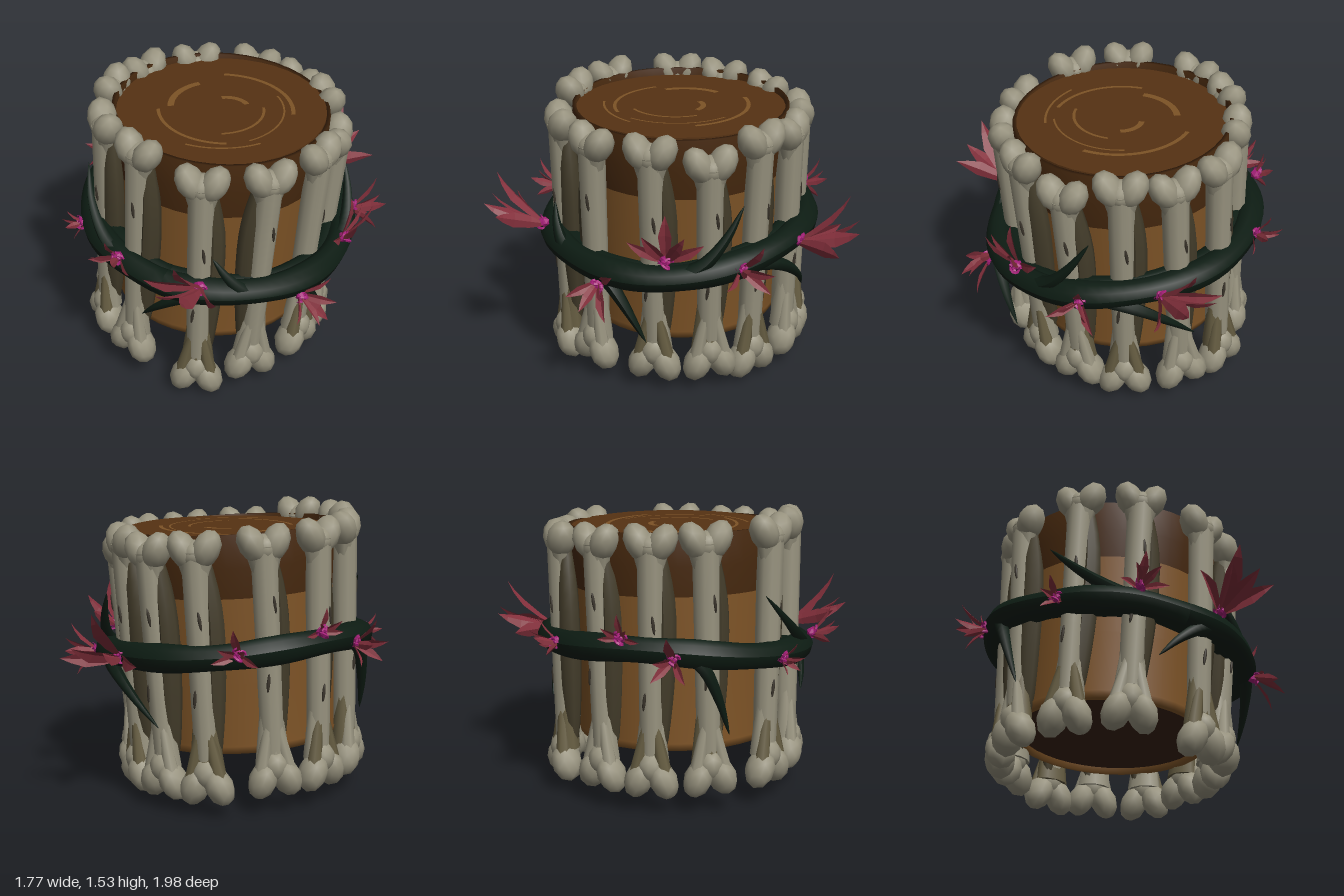
import * as THREE from 'three';

const rad = THREE.MathUtils.degToRad;
const mat = (color, extra = {}) => new THREE.MeshStandardMaterial({ color, ...extra });
const M = {
  bone: mat(0x98937f),
  olive: mat(0x655c41),
  slat: mat(0x433c2a),
  crack: mat(0x39332a),
  wood: mat(0x7d5326, { side: THREE.DoubleSide }),
  darkWood: mat(0x47290f, { side: THREE.DoubleSide }),
  skin: mat(0x563213),
  under: mat(0x3a2210),
  vine: mat(0x0d1c13),
  petal: mat(0x84303c, { side: THREE.DoubleSide, flatShading: true }),
  core: mat(0xa51f78, { flatShading: true }),
};

function add(parent, name, geo, material, pos = [0, 0, 0], rot = [0, 0, 0], scale = [1, 1, 1]) {
  const m = new THREE.Mesh(geo, material);
  m.name = name;
  m.position.set(...pos);
  m.rotation.set(...rot);
  m.scale.set(...scale);
  parent.add(m);
  return m;
}

const lathe = (pts) => new THREE.LatheGeometry(pts.map(p => new THREE.Vector2(...p)), 40);
const spline = (pts, closed = false) => new THREE.CatmullRomCurve3(pts, closed);

// Tube whose radius follows a rule along its length
function taperTube(curve, segs, sides, radiusAt, closed = false) {
  const geo = new THREE.TubeGeometry(curve, segs, 1, sides, closed);
  const pos = geo.attributes.position, v = new THREE.Vector3();
  for (let i = 0; i <= segs; i++) {
    const c = curve.getPointAt(i / segs);
    for (let j = 0; j <= sides; j++) {
      const k = i * (sides + 1) + j;
      v.fromBufferAttribute(pos, k).sub(c).multiplyScalar(radiusAt(i / segs)).add(c);
      pos.setXYZ(k, v.x, v.y, v.z);
    }
  }
  geo.computeVertexNormals();
  return geo;
}

// Drum body: two-tone hollow wall, level skin inside the leaning rim, underside
function drumBody() {
  const g = new THREE.Group();
  g.name = 'drumBody';
  add(g, 'lowerWall', lathe([[0.5, -0.42], [0.505, -0.47], [0.53, -0.47], [0.54, -0.43],
    [0.53, -0.42], [0.545, -0.1], [0.555, 0.34]]), M.wood);
  add(g, 'upperWall', lathe([[0.555, 0.34], [0.575, 0.5], [0.575, 0.665], [0.555, 0.665], [0.55, 0.58]]), M.darkWood);
  const head = new THREE.Group();
  head.name = 'drumHead';
  head.position.y = 0.64;
  head.rotation.z = 0.045;
  add(head, 'drumSkin', new THREE.CylinderGeometry(0.555, 0.555, 0.02, 40), M.skin);
  g.add(head);
  add(g, 'underside', new THREE.CylinderGeometry(0.51, 0.51, 0.02, 40), M.under, [0, -0.43, 0]);
  // Worn swirls on the skin: radius, width, start, sweep
  [[0.4, 0.022, 0.3, 1.6], [0.37, 0.018, 3.6, 1.5], [0.27, 0.035, 2.4, 1.2], [0.25, 0.015, 5.2, 1.6],
    [0.13, 0.03, 0.8, 1.4], [0.44, 0.012, 4.7, 0.9], [0.36, 0.01, 5.6, 1.5]].forEach(([r, w, s, l], i) =>
    add(head, 'skinSwirl', new THREE.RingGeometry(r - w, r, 24, 1, s, l), M.wood,
      [0.03 * Math.sin(i * 2), 0.013, 0.03 * Math.cos(i * 2)], [-Math.PI / 2, 0, 0]));
  return g;
}

// Bone with twin knobs at both ends; z points outwards
const knob = new THREE.IcosahedronGeometry(1, 1);
function bone(top, bottom, i) {
  const g = new THREE.Group();
  g.name = 'bone';
  const shaftMid = (top + bottom) / 2 + 0.06, len = top - bottom - 0.36;
  add(g, 'shaft', new THREE.CylinderGeometry(0.07, 0.062, len, 10, 3), M.bone, [0, shaftMid, 0], [0, i, 0]);
  add(g, 'upperNeck', new THREE.CylinderGeometry(0.105, 0.068, 0.13, 10), M.bone,
    [0, top - 0.17, 0], [0, 0, 0], [1, 1, 0.7]);
  add(g, 'upperMiddleKnob', knob, M.bone, [0, top - 0.12, 0], [0, 0, 0], [0.08, 0.075, 0.075]);
  add(g, 'lowerNeck', new THREE.CylinderGeometry(0.058, 0.095, 0.3, 10), i % 3 ? M.bone : M.olive,
    [0, bottom + 0.32, 0], [0, 0, 0], [1, 1, 0.7]);
  for (const s of [-1, 1]) {
    add(g, 'upperKnob', knob, M.bone, [s * 0.06, top - 0.095, 0], [0, 0, -s * 0.5], [0.072, 0.105, 0.08]);
    add(g, 'lowerKnob', knob, M.bone, [s * 0.064, bottom + 0.1, 0.02], [0, s * 0.3, s * 0.4], [0.075, 0.108, 0.085]);
    add(g, 'fork', new THREE.CylinderGeometry(0.022, 0.042, 0.3, 7), i % 2 ? M.bone : M.olive,
      [s * 0.045, bottom + 0.28, 0.03], [-0.05, 0, s * 0.2]);
    add(g, 'crack', knob, M.crack, [s * 0.025, shaftMid + s * 0.2 + 0.05 * Math.sin(i * 3), 0.061],
      [0, s * 0.3, s * 0.12], [0.009, 0.05, 0.008]);
  }
  add(g, 'lowerMiddleKnob', knob, M.bone, [0, bottom + 0.17, 0.02], [0, 0, 0], [0.075, 0.085, 0.075]);
  // Dark curved stave hugging one side of the bone from knob to knob
  const side = i === 5 ? -1 : 1;
  const path = [[0.03, top - 0.12], [0.068, top - 0.4], [0.065, 0], [0.035, bottom + 0.22]]
    .map(([x, y]) => new THREE.Vector3(side * x, y, -0.025));
  add(g, 'stave', taperTube(spline(path), 12, 8, t => 0.03 + 0.027 * Math.sin(Math.PI * t) ** 0.6), M.slat);
  return g;
}

// Point on the sloping vine ring; a = 0 is the front, 90 the model's left
function onVine(a, r = 0.685, dy = 0) {
  const s = Math.sin(rad(a)), c = Math.cos(rad(a));
  return new THREE.Vector3(0.025 + r * s, 0.795 - 0.075 * s - 0.045 * c + dy, -0.04 + r * c);
}

// Folded lance-shaped petal pointing along +y, unit length
function petalGeometry() {
  const rows = [[0, 0.025, 0], [0.3, 0.095, 0.02], [0.6, 0.125, 0.02], [0.83, 0.065, 0], [1, 0, -0.04]];
  const pos = [], idx = [];
  rows.forEach(([y, w, z], i) => {
    pos.push(-w, y, z + w * 0.4, 0, y, z, w, y, z + w * 0.4);
    if (i) for (const k of [0, 1]) {
      const a = (i - 1) * 3 + k;
      idx.push(a, a + 1, a + 4, a, a + 4, a + 3);
    }
  });
  const geo = new THREE.BufferGeometry();
  geo.setAttribute('position', new THREE.Float32BufferAttribute(pos, 3));
  geo.setIndex(idx);
  geo.computeVertexNormals();
  return geo;
}
const petalGeo = petalGeometry();

// Half-open fan of petals around a curled core
function flower([a, face, dy, size, roll, spread, lean]) {
  const g = new THREE.Group();
  g.name = 'flower';
  g.position.copy(onVine(a, 0.725, dy));
  g.rotation.set(0, rad(face), rad(roll), 'YXZ');
  for (let i = -2; i <= 2; i++) {
    const holder = new THREE.Group();
    holder.rotation.z = -rad(i * spread / 4);
    const len = size * (1 - 0.08 * Math.abs(i));
    add(holder, 'petal', petalGeo, M.petal, [0, 0, 0], [rad(i % 2 ? lean + 22 : lean), 0, 0], [len, len, len]);
    g.add(holder);
  }
  add(g, 'flowerCore', new THREE.IcosahedronGeometry(0.03, 0), M.core, [0, 0.01, 0.02]);
  for (let i = 0; i < 4; i++)
    add(g, 'coreCurl', new THREE.TorusGeometry(0.022, 0.008, 4, 7, 4.5), M.core,
      [0.018 * Math.cos(i * 1.57), 0.01 + 0.018 * Math.sin(i * 1.57), 0.035], [i * 0.5, 0.6 - i * 0.4, i * 1.57]);
  return g;
}

export function createModel() {
  const model = new THREE.Group();
  model.name = 'boneDrum';

  // Drum and bones lean together
  const drum = new THREE.Group();
  drum.name = 'drum';
  drum.position.set(0.005, 0.77, -0.05);
  drum.rotation.z = -0.053;
  drum.add(drumBody());
  // Angle, top, bottom and distance from the axis of each bone
  [[184, 0.7, -0.71, 0.62], [159, 0.69, -0.7, 0.61], [132, 0.72, -0.72, 0.59], [106, 0.65, -0.68, 0.6],
    [78, 0.71, -0.69, 0.59], [45, 0.7, -0.69, 0.61], [16, 0.7, -0.75, 0.635], [-19, 0.755, -0.68, 0.61],
    [-49, 0.745, -0.7, 0.61], [-85, 0.73, -0.7, 0.595], [-113, 0.72, -0.71, 0.58], [-143, 0.71, -0.7, 0.575],
  ].forEach(([a, top, bottom, r], i) => {
    const b = bone(top, bottom, i), s = Math.sin(rad(a));
    b.rotation.set(0.01 + 0.03 * s * s, rad(a), 0.02 * Math.sin(i * 2.3), 'YXZ');
    b.position.set(r * s, 0, r * Math.cos(rad(a)));
    drum.add(b);
  });
  model.add(drum);

  // Outer vine ring and a thinner strand inside it: distance from the axis, thickness
  for (const [name, r, thick] of [['vineRing', 0.685, 0.072], ['innerVine', 0.61, 0.052]]) {
    const ring = [];
    for (let a = 0; a < 360; a += 20) ring.push(onVine(a, r, 0.012 * Math.sin(a)));
    add(model, name, taperTube(spline(ring, true), 72, 10,
      t => thick + 0.005 * Math.sin(t * Math.PI * 14), true), M.vine);
  }

  // Tendrils: start angle, end angle, rise
  [[-18, -60, 0.3], [18, -12, -0.27], [55, 78, -0.37], [93, 120, 0.32],
    [-95, -78, -0.42], [122, 167, -0.37], [40, 21, 0.22]].forEach(([a0, a1, dy]) => {
    const pts = [0, 0.35, 0.7, 1].map(t => onVine(a0 + (a1 - a0) * t, 0.69 + 0.02 * Math.sin(t * 3), dy * t ** 1.6));
    add(model, 'tendril', taperTube(spline(pts), 14, 6, t => 0.045 * (1 - t) ** 0.7 + 0.001), M.vine);
  });

  // Flowers: angle, facing, height offset, size, roll, fan spread, outward lean
  [[-54, -50, -0.03, 0.15, 0, 270, 50], [-21, -10, 0.06, 0.2, 0, 190, 40], [17, -7, 0.07, 0.39, 0, 125, 46],
    [58, 70, -0.05, 0.23, -150, 190, 40], [87, 85, 0.1, 0.27, 0, 120, 12], [117, 118, 0.0, 0.24, -15, 240, 45],
    [148, 174, 0.0, 0.39, 0, 170, 48], [203, 184, 0.0, 0.19, 0, 210, 40], [237, 235, 0.07, 0.15, 0, 180, 25],
    [258, 246, -0.02, 0.22, 0, 270, 50],
  ].forEach(f => model.add(flower(f)));
  return model;
}
